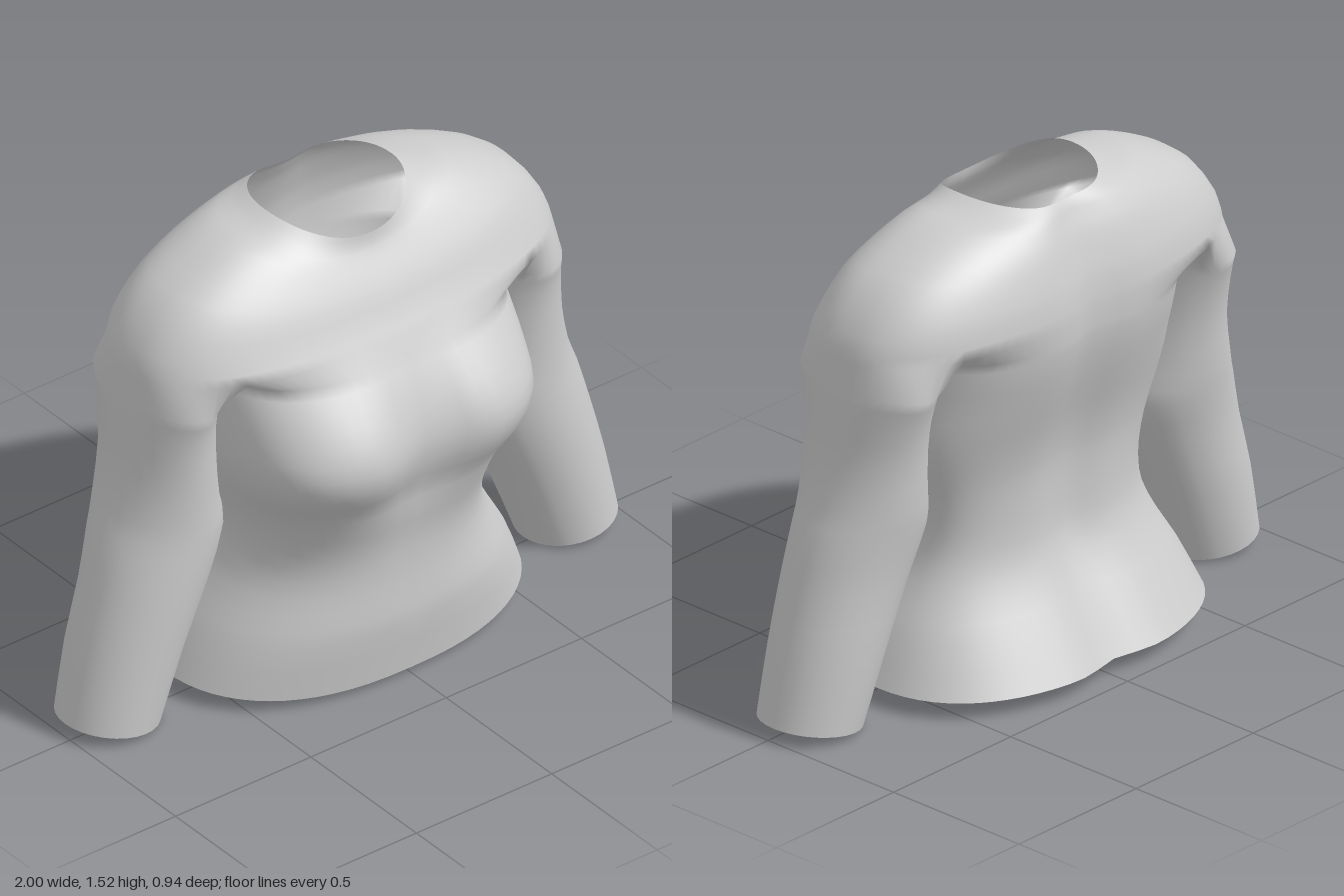
import * as THREE from 'three';
import { mergeVertices } from 'three/addons/utils/BufferGeometryUtils.js';

const CENTRE = 10, OUTER = 20, SIDE = 12; // segments: front/back panel, shoulder, underarm
const ZC = -0.06;
const lerp = THREE.MathUtils.lerp;

// Angles from front centre round to back centre, split at the armpits
function angles(split, middle) {
  const list = [];
  for (let i = 0; i < CENTRE; i++) list.push(split * i / CENTRE);
  for (let i = 0; i <= middle; i++) list.push(lerp(split, Math.PI - split, i / middle));
  for (let i = 1; i <= CENTRE; i++) list.push(lerp(Math.PI - split, Math.PI, i / CENTRE));
  return list;
}

// One point of a half ring: rounded oval with a hollow down the middle
function ovalPoint(a, r) {
  const s = Math.abs(Math.sin(a)), c = Math.cos(a), front = c > 0;
  const n = front ? r.nf : r.nb;
  const x = r.w * s ** (2 / n);
  const depth = (front ? r.f : r.b) - ZC;
  const hollow = front ? -r.df * Math.exp(-((x / 0.13) ** 2)) : r.db * Math.exp(-((x / 0.1) ** 2));
  const y = lerp(r.ys, front ? r.yf : r.yb, c * c);
  return [x, y, ZC + depth * Math.abs(c) ** (2 / n) + hollow];
}

// Smoothly add in-between rows to a table of numbers
function refine(rows, steps) {
  const out = [];
  for (let i = 0; i < rows.length - 1; i++) {
    const p = k => rows[Math.min(rows.length - 1, Math.max(0, k))];
    for (let s = 0; s < steps; s++) {
      const t = s / steps;
      out.push(rows[i].map((v, c) => {
        const a = p(i - 1)[c], d = p(i + 1)[c], e = p(i + 2)[c];
        return 0.5 * (2 * v + (d - a) * t + (2 * a - 5 * v + 4 * d - e) * t * t + (3 * v - a - 3 * d + e) * t * t * t);
      }));
    }
  }
  out.push(rows[rows.length - 1]);
  return out;
}

// Skin rings (bottom to top) and the mirrored half
function skin(rings, out) {
  const tri = (...pts) => {
    pts.forEach(p => out.push(...p));
    [pts[0], pts[2], pts[1]].forEach(p => out.push(-p[0], p[1], p[2]));
  };
  for (let j = 0; j < rings.length - 1; j++) {
    const lo = rings[j], hi = rings[j + 1];
    for (let i = 0; i < lo.length - 1; i++) {
      tri(lo[i], lo[i + 1], hi[i + 1]);
      tri(lo[i], hi[i + 1], hi[i]);
    }
  }
}

export function createModel() {
  const fabric = new THREE.MeshStandardMaterial({ color: 0xcccccc, side: THREE.DoubleSide });
  fabric.name = 'light grey fabric';
  const positions = [];

  // Shoulders: side x, side y, front z, front y, back z, back y, roundness
  const shoulders = refine([
    [0.75, 1.17, 0.295, 1.17, -0.40, 1.17, 2.5],
    [0.728, 1.245, 0.26, 1.23, -0.39, 1.25, 2.5],
    [0.65, 1.355, 0.23, 1.29, -0.37, 1.32, 2.45],
    [0.54, 1.425, 0.20, 1.34, -0.345, 1.39, 2.4],
    [0.40, 1.485, 0.17, 1.385, -0.32, 1.44, 2.3],
    [0.30, 1.497, 0.15, 1.42, -0.305, 1.47, 2.2],
    [0.235, 1.52, 0.143, 1.45, -0.29, 1.49, 2.1],
  ], 2).map(([w, ys, f, yf, b, yb, n]) => angles(0.69, OUTER).map(a =>
    ovalPoint(a, { w, ys, f, yf, b, yb, nf: n, nb: n, df: 0, db: 0.035 })));
  skin(shoulders, positions);

  // Underarm line joining front and back armpits
  const yoke = shoulders[0];
  const pitF = yoke[CENTRE], pitB = yoke[CENTRE + OUTER];
  const underarm = [];
  for (let i = 0; i <= SIDE; i++) {
    const t = i / SIDE, bow = Math.sin(Math.PI * t);
    underarm.push(i === 0 ? pitF : i === SIDE ? pitB
      : [lerp(pitF[0], pitB[0], t) + 0.01 * bow, pitF[1] - 0.05 * bow, lerp(pitF[2], pitB[2], t)]);
  }

  // Body: y, half width, front z, back z, front hollow, front and back roundness
  const body = refine([
    [0.055, 0.612, 0.335, -0.48, 0, 2.4, 2.4],
    [0.20, 0.548, 0.357, -0.395, 0, 2.4, 2.4],
    [0.30, 0.49, 0.352, -0.335, 0, 2.4, 2.4],
    [0.40, 0.44, 0.347, -0.29, 0, 2.4, 2.5],
    [0.50, 0.426, 0.356, -0.28, 0.005, 2.5, 2.5],
    [0.60, 0.442, 0.388, -0.28, 0.02, 2.6, 2.5],
    [0.68, 0.468, 0.415, -0.287, 0.04, 2.8, 2.5],
    [0.77, 0.498, 0.464, -0.307, 0.065, 3.2, 2.5],
    [0.86, 0.513, 0.482, -0.336, 0.075, 3.3, 2.5],
    [0.95, 0.515, 0.452, -0.366, 0.06, 3.1, 2.5],
    [1.04, 0.515, 0.39, -0.39, 0.03, 2.9, 2.6],
    [1.11, 0.515, 0.335, -0.40, 0.01, 2.7, 2.7],
  ], 2).map(([y, w, f, b, df, nf, nb], j) => angles(0.95, SIDE).map(a =>
    ovalPoint(a, { w, ys: y, f, yf: j === 0 ? 0.02 : y, b, yb: y, nf, nb, df, db: 0.035 })));
  body.push([...yoke.slice(0, CENTRE), ...underarm, ...yoke.slice(CENTRE + OUTER + 1)]);
  skin(body, positions);

  // Sleeves: inner x, inner y, outer x, outer y, front z, back z
  const pit = 2.15;
  const sleeve = refine([
    [0.69, 0, 1.0, 0.045, 0.135, -0.18],
    [0.60, 0.235, 0.955, 0.255, 0.143, -0.20],
    [0.505, 0.45, 0.902, 0.45, 0.15, -0.21],
    [0.45, 0.60, 0.86, 0.60, 0.15, -0.232],
    [0.468, 0.70, 0.822, 0.70, 0.15, -0.247],
    [0.49, 0.85, 0.787, 0.85, 0.156, -0.257],
    [0.50, 0.98, 0.775, 0.99, 0.165, -0.282],
    [0.505, 1.06, 0.765, 1.08, 0.185, -0.31],
  ], 2).map(([xi, yi, xo, yo, f, b]) => {
    const ring = [];
    for (let i = 0; i <= OUTER + SIDE; i++) {
      const a = i <= OUTER ? lerp(pit, -pit, i / OUTER)
        : lerp(-pit, pit - 2 * Math.PI, (i - OUTER) / SIDE);
      const u = 0.5 + 0.5 * Math.cos(a);
      ring.push([lerp(xi, xo, u), lerp(yi, yo, u), lerp(b, f, 0.5 + 0.5 * Math.sin(a))]);
    }
    return ring;
  });
  sleeve.push([...yoke.slice(CENTRE, CENTRE + OUTER), ...underarm.slice().reverse()]);
  skin(sleeve, positions);

  // Weld everything into one smooth garment
  let geometry = new THREE.BufferGeometry();
  geometry.setAttribute('position', new THREE.Float32BufferAttribute(positions, 3));
  geometry = mergeVertices(geometry, 1e-4);
  geometry.computeVertexNormals();

  const shirt = new THREE.Mesh(geometry, fabric);
  shirt.name = 'shirt';
  const group = new THREE.Group();
  group.name = 'longSleevedTop';
  group.add(shirt);
  return group;
}
